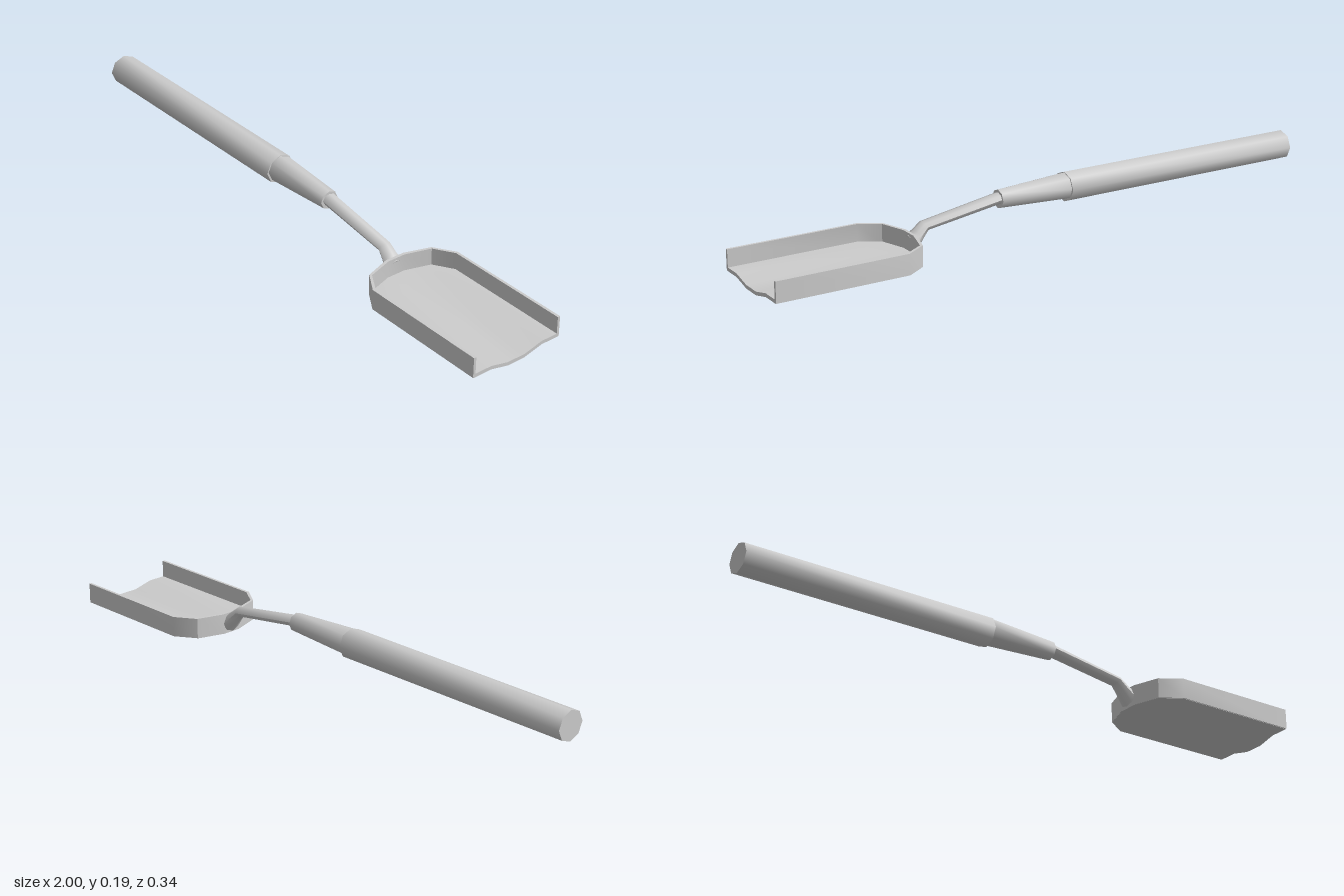
import * as THREE from 'three';
import { toCreasedNormals } from 'three/addons/utils/BufferGeometryUtils.js';

const material = new THREE.MeshStandardMaterial({ color: 0xcccccc });

// Closed skin over rings of [x, y, z] points; each ring turns from +y towards +z.
function loft(rings, crease) {
  const n = rings[0].length;
  const index = [];
  for (let i = 0; i < rings.length - 1; i++) {
    for (let j = 0; j < n; j++) {
      const k = (j + 1) % n;
      const a = i * n + j, b = i * n + k, c = a + n, d = b + n;
      index.push(a, b, d, a, d, c);
    }
  }
  const capFaces = (ring) =>
    THREE.ShapeUtils.triangulateShape(ring.map(([, y, z]) => new THREE.Vector2(y, z)), []);
  const last = (rings.length - 1) * n;
  for (const [a, b, c] of capFaces(rings[0])) index.push(a, c, b);
  for (const [a, b, c] of capFaces(rings[rings.length - 1])) index.push(last + a, last + b, last + c);
  const geometry = new THREE.BufferGeometry();
  geometry.setAttribute('position', new THREE.Float32BufferAttribute(rings.flat(2), 3));
  geometry.setIndex(index);
  return toCreasedNormals(geometry, crease);
}

// Eight-sided ring around (x, y), leaning forward by tilt.
function ring(x, y, ry, rz, tilt = 0) {
  return Array.from({ length: 8 }, (_, j) => {
    const a = (j * Math.PI) / 4;
    const h = ry * Math.cos(a);
    return [x + h * Math.sin(tilt), y + h * Math.cos(tilt), rz * Math.sin(a)];
  });
}

function part(name, geometry) {
  const mesh = new THREE.Mesh(geometry, material);
  mesh.name = name;
  return mesh;
}

// Half outline of the scoop from the open front to the back: [x, half width]
const outer = [[1, 0.17], [0.555, 0.17], [0.485, 0.125], [0.455, 0.035]];
const inner = [[1, 0.161], [0.558, 0.161], [0.492, 0.12], [0.465, 0.032]];
const mirrored = (half) => half.map(([x, z]) => [x, -z]).reverse();

// Upright rim, open at the front
function wallGeometry() {
  const path = [...outer, ...mirrored(outer), ...inner, ...mirrored(inner)];
  // the inner edge runs back the other way
  const count = outer.length * 2;
  const points = [...path.slice(0, count), ...path.slice(count).reverse()];
  const shape = new THREE.Shape(points.map(([x, z]) => new THREE.Vector2(x, z)));
  const geometry = new THREE.ExtrudeGeometry(shape, { depth: 0.069, bevelEnabled: false });
  geometry.rotateX(-Math.PI / 2).translate(0, 0.018, 0);
  return toCreasedNormals(geometry, 0.6);
}

// Floor slab whose middle dips towards the front
function floorGeometry() {
  const across = [-1, -0.6, -0.2, 0.2, 0.6, 1];
  const rings = [...outer].reverse().map(([x, width]) => {
    const dip = 0.016 * (x - 0.455) / 0.545;
    const w = width - 0.003;
    const edge = (y) => across.map((s) => [x, y - (Math.abs(s) < 0.3 ? dip : 0), s * w]);
    return [...edge(0.029), ...edge(0.017).reverse()];
  });
  return loft(rings, 0.5);
}

export function createModel() {
  const group = new THREE.Group();
  group.name = 'handScoop';

  // Grip and tapering collar
  group.add(part('handle', loft([ring(-1, 0.138, 0.05, 0.053), ring(-0.11, 0.138, 0.05, 0.053)], 0.9)));
  group.add(part('ferrule', loft([ring(-0.12, 0.141, 0.045, 0.048), ring(0.14, 0.14, 0.031, 0.033)], 0.9)));

  // Bent neck, flaring where it meets the scoop
  group.add(part('neck', loft([
    ring(0.12, 0.146, 0.019, 0.025, 0.15),
    ring(0.408, 0.101, 0.017, 0.024, 0.5),
    ring(0.432, 0.078, 0.021, 0.027, 0.75),
    ring(0.458, 0.05, 0.03, 0.035, 0.3),
  ], 0.9)));

  // Scoop
  const scoop = new THREE.Group();
  scoop.name = 'scoop';
  scoop.add(part('scoopWall', wallGeometry()), part('scoopFloor', floorGeometry()));
  group.add(scoop);
  return group;
}
